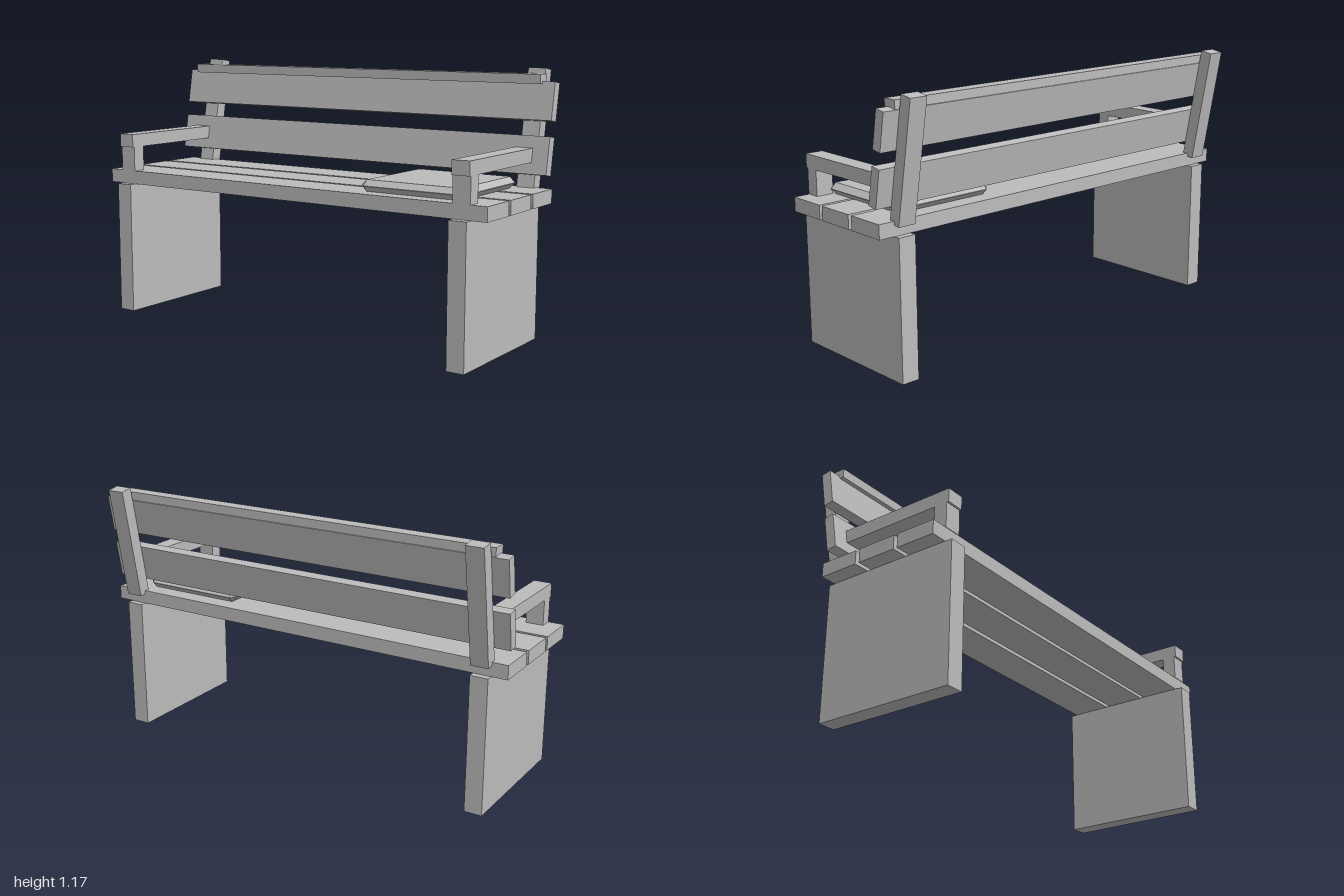
import * as THREE from 'three';
import { ConvexGeometry } from 'three/addons/geometries/ConvexGeometry.js';

const grey = new THREE.MeshStandardMaterial({ color: 0xbcbcbc });
grey.name = 'plainGrey';

const LEAN = -0.174; // backward lean of the backrest

// Box given by its centre and size, optionally leaning about x
function box(parent, name, [w, h, d], [x, y, z], lean = 0) {
  const mesh = new THREE.Mesh(new THREE.BoxGeometry(w, h, d), grey);
  mesh.name = name;
  mesh.position.set(x, y, z);
  mesh.rotation.x = lean;
  parent.add(mesh);
  return mesh;
}

// Box with every edge and corner cut by a single chamfer
function chamferedBox(w, h, d, b) {
  const points = [];
  for (const sx of [-1, 1]) for (const sy of [-1, 1]) for (const sz of [-1, 1]) {
    for (let axis = 0; axis < 3; axis++) {
      const half = [w / 2, h / 2, d / 2].map((v, i) => (i === axis ? v : v - b));
      points.push(new THREE.Vector3(sx * half[0], sy * half[1], sz * half[2]));
    }
  }
  return new ConvexGeometry(points);
}

export function createModel() {
  const bench = new THREE.Group();
  bench.name = 'bench';

  // Seat planks
  for (const z of [0.244, 0.045, -0.156]) {
    box(bench, 'seatPlank', [2, 0.062, 0.182], [0, 0.636, z]);
  }

  // Mirrored ends: leg panel, armrest and backrest upright
  for (const side of [-1, 1]) {
    const end = new THREE.Group();
    end.name = side > 0 ? 'leftEnd' : 'rightEnd';
    const x = side * 0.888;
    box(end, 'legPanel', [0.08, 0.605, 0.644], [x, 0.3025, 0.046]);
    box(end, 'armPost', [0.08, 0.112, 0.061], [x, 0.723, 0.307]);
    box(end, 'armRail', [0.08, 0.06, 0.567], [x, 0.809, 0.0635]);
    box(end, 'backUpright', [0.08, 0.521, 0.057], [x, 0.908, -0.293], LEAN);
    bench.add(end);
  }

  // Leaning back planks and the level cap rail
  box(bench, 'lowerBackPlank', [2, 0.163, 0.047], [0, 0.806, -0.221], LEAN);
  box(bench, 'upperBackPlank', [2, 0.163, 0.047], [0, 1.032, -0.258], LEAN);
  box(bench, 'capRail', [1.886, 0.041, 0.064], [0, 1.126, -0.259]);

  // Thin seat cushion at one end
  const cushion = new THREE.Mesh(chamferedBox(0.49, 0.05, 0.475, 0.024), grey);
  cushion.name = 'cushion';
  cushion.position.set(0.623, 0.692, 0.048);
  bench.add(cushion);

  return bench;
}
